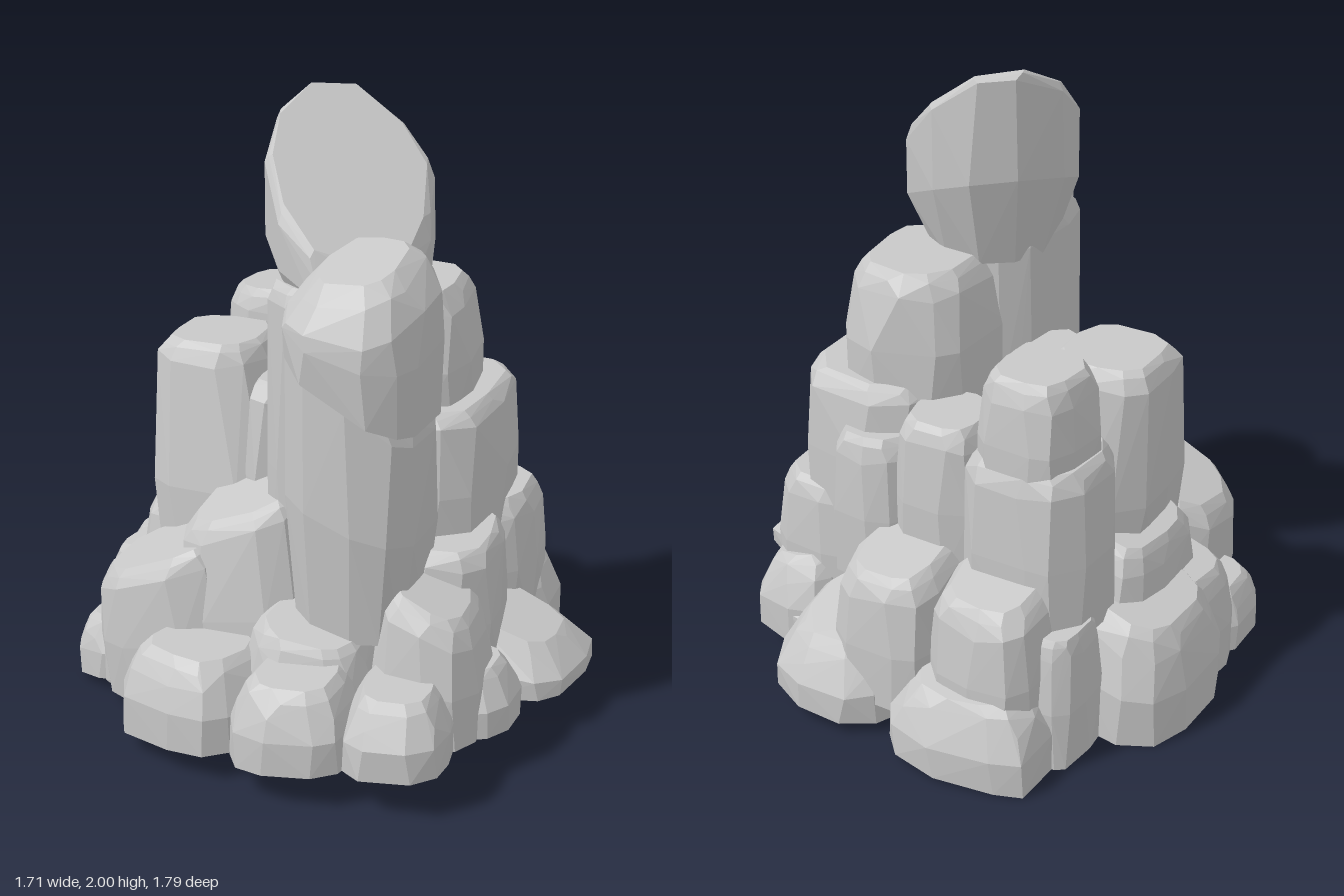
import * as THREE from 'three';
import { ConvexGeometry } from 'three/addons/geometries/ConvexGeometry.js';

const stone = new THREE.MeshStandardMaterial({ color: 0xc8c8c8, flatShading: true });
stone.name = 'pale grey stone';

// The formation stands on a slightly tilted flat underside.
const groundY = (x, z) => 0.074 + 0.068 * x + 0.03 * z;

function seeded(seed) {
  let s = seed * 7919 + 17;
  return () => ((s = (s * 16807) % 2147483647) / 2147483647);
}

export function createModel() {
  const group = new THREE.Group();
  let count = 0;

  // One chiselled boulder: rounded-box rings, narrowing to a bevelled, sloping top.
  // y0 = null stands it on the ground; y1 is the top height at its middle.
  // sx, sz slope the top; bx slopes the bottom; power 1 is round, lower is boxier.
  function rock(name, [x0, x1], [z0, z1], [y0, y1], o = {}) {
    const rand = seeded(++count);
    for (let i = 0; i < 4; i++) rand();
    const { sx = 0, sz = 0, bx = 0, foot = 1, shoulder = 0.94, crown = 0.7, bevel = 0.07 } = o;
    const { power = 0.68, yaw = (rand() - 0.5) * 0.24, lean = [0, 0] } = o;
    const cx = (x0 + x1) / 2, cz = (z0 + z1) / 2, rx = (x1 - x0) / 2, rz = (z1 - z0) / 2;
    const sides = 11, turn = rand() * 6;
    const wobble = Array.from({ length: sides }, () => 0.94 + rand() * 0.1);
    const rings = [[0, foot, 0], [0.45, 1, 0], [1, shoulder, bevel], [1, (shoulder + crown) / 2, bevel * 0.35], [1, crown, 0]];
    const points = [];
    for (const [t, scale, drop] of rings) {
      for (let i = 0; i < sides; i++) {
        const a = turn + ((i + rand() * 0.35) / sides) * Math.PI * 2;
        const c = Math.cos(a), s = Math.sin(a);
        const u = Math.sign(c) * Math.abs(c) ** power * rx * scale * wobble[i];
        const v = Math.sign(s) * Math.abs(s) ** power * rz * scale * wobble[i];
        const dx = u * Math.cos(yaw) + v * Math.sin(yaw), dz = v * Math.cos(yaw) - u * Math.sin(yaw);
        const x = cx + dx + lean[0] * (t - 0.5), z = cz + dz + lean[1] * (t - 0.5);
        const low = y0 === null ? groundY(x, z) : y0 + bx * dx;
        const high = y1 + sx * dx + sz * dz - drop * (t === 1 ? 0.8 + rand() * 0.4 : 1);
        points.push(new THREE.Vector3(x, low + (high - low) * t, z));
      }
    }
    const mesh = new THREE.Mesh(new ConvexGeometry(points), stone);
    mesh.name = name;
    group.add(mesh);
  }

  // Hidden core that closes the underside
  rock('core', [-0.72, 0.66], [-0.72, 0.72], [null, 0.33], { shoulder: 0.75, crown: 0.6 });
  rock('innerCore', [-0.5, 0.48], [-0.5, 0.4], [0.2, 0.62], { shoulder: 0.9 });

  // Tall spire with its slanting tip
  rock('spireColumn', [-0.11, 0.3], [-0.1, 0.42], [0.4, 1.47], { yaw: 0, shoulder: 0.97, crown: 0.85 });
  rock('spireTip', [-0.16, 0.35], [-0.2, 0.39], [1.36, 1.77],
    { sx: -0.7, sz: -0.62, foot: 0.72, shoulder: 1, crown: 0.9, bevel: 0.05, power: 0.9, yaw: 0 });

  // Front finger and its capstone, meeting along a slanted seam
  rock('fingerColumn', [0.04, 0.48], [0.13, 0.6], [0.42, 1.28], { yaw: 0, sx: -0.7, foot: 0.85, shoulder: 0.98, crown: 0.85 });
  rock('fingerCap', [0.035, 0.49], [0.12, 0.61], [1.2, 1.58],
    { yaw: 0, sx: 0.06, sz: -0.3, bx: -0.55, foot: 0.97, shoulder: 0.97, crown: 0.55, bevel: 0.12 });

  // Stepped blocks on the right side
  rock('rightTopBlock', [-0.04, 0.43], [-0.45, 0.13], [0.95, 1.39], { shoulder: 0.87, crown: 0.68 });
  rock('rightMiddleBlock', [0.0, 0.54], [-0.53, 0.22], [0.55, 1.04], { yaw: 0, shoulder: 0.95, crown: 0.82, bevel: 0.05 });
  rock('rightLowerBlock', [0.22, 0.63], [-0.17, 0.34], [0.2, 0.65], { shoulder: 0.92, crown: 0.78, bevel: 0.05 });
  rock('rightRearBlock', [0.18, 0.6], [-0.56, -0.1], [0.2, 0.65], { shoulder: 0.92, crown: 0.75 });
  rock('rightShoulder', [0.33, 0.69], [0.16, 0.6], [null, 0.57], { sx: -0.4, shoulder: 0.86, crown: 0.6, bevel: 0.07 });

  // Left and rear columns
  rock('leftColumn', [-0.62, -0.13], [-0.25, 0.25], [0.3, 1.16], { yaw: 0, shoulder: 0.77, crown: 0.6, bevel: 0.06, lean: [-0.11, -0.05] });
  rock('rearLeftBlock', [-0.62, -0.18], [-0.6, -0.16], [0.4, 0.97], { yaw: 0, shoulder: 0.94, crown: 0.78 });
  rock('rearLeftColumn', [-0.56, -0.22], [-0.56, -0.21], [0.85, 1.24], { yaw: 0, shoulder: 0.9, crown: 0.7, bevel: 0.07 });
  rock('gapColumn', [-0.26, -0.05], [-0.3, 0.24], [0.5, 1.07], { yaw: 0, shoulder: 0.9, bevel: 0.05 });
  rock('rearMiddleColumn', [-0.24, 0.1], [-0.57, -0.22], [0.5, 1.0], { shoulder: 0.9 });
  rock('rearRightColumn', [0.02, 0.32], [-0.6, -0.28], [0.4, 0.9], { shoulder: 0.9 });

  // Slanting blocks on the front left
  rock('frontInnerBlock', [-0.36, 0.09], [0.1, 0.56], [0.15, 0.75], { yaw: 0.1, sx: 0.35, sz: -0.2, shoulder: 0.88, crown: 0.7, bevel: 0.05, lean: [-0.05, -0.04] });
  rock('frontOuterBlock', [-0.65, -0.12], [0.15, 0.61], [null, 0.56], { yaw: -0.1, sx: 0.42, sz: -0.1, shoulder: 0.9, crown: 0.74, bevel: 0.06, lean: [-0.05, 0] });
  rock('frontStep', [-0.03, 0.38], [0.36, 0.7], [0.2, 0.46], { sx: -0.15, sz: -0.2, shoulder: 0.9, bevel: 0.06 });

  // Outer ring of low boulders, front round to the right
  rock('frontLeftBoulder', [-0.4, 0.07], [0.4, 0.85], [null, 0.37], { shoulder: 0.88, crown: 0.62, bevel: 0.08, yaw: -0.25 });
  rock('frontBoulder', [0.01, 0.39], [0.48, 0.89], [null, 0.38], { shoulder: 0.89, crown: 0.62, bevel: 0.08, sz: -0.1 });
  rock('frontRightBoulder', [0.32, 0.67], [0.38, 0.82], [null, 0.36], { shoulder: 0.88, crown: 0.62, bevel: 0.08, yaw: 0.25 });
  rock('rightFrontBoulder', [0.44, 0.76], [0.13, 0.48], [null, 0.33], { shoulder: 0.85, crown: 0.58, bevel: 0.07 });
  rock('rightBoulder', [0.4, 0.86], [-0.31, 0.18], [null, 0.32], { sx: -0.35, shoulder: 0.82, crown: 0.6, bevel: 0.05 });
  rock('rightRearBoulder', [0.28, 0.64], [-0.65, -0.22], [null, 0.37], { sx: -0.25, shoulder: 0.86, crown: 0.6, bevel: 0.08 });

  // Rear boulders
  rock('rearRightBoulder', [-0.08, 0.36], [-0.88, -0.44], [null, 0.34], { sz: 0.35, shoulder: 0.86, crown: 0.6, bevel: 0.08 });
  rock('rearBoulder', [-0.62, -0.08], [-0.89, -0.48], [null, 0.3], { sz: 0.2, shoulder: 0.86, crown: 0.62, bevel: 0.08, yaw: 0.12 });
  rock('rearUpperMiddle', [-0.23, 0.16], [-0.81, -0.42], [0.12, 0.6], { sz: 0.25, shoulder: 0.9, crown: 0.66, bevel: 0.07 });
  rock('rearUpperLeft', [-0.57, -0.18], [-0.79, -0.4], [0.12, 0.6], { sz: 0.25, shoulder: 0.9, crown: 0.66, bevel: 0.07 });
  rock('rearCornerStone', [-0.66, -0.45], [-0.66, -0.36], [null, 0.46], { shoulder: 0.85, bevel: 0.06 });

  // Left boulders
  rock('leftBoulder', [-0.86, -0.46], [-0.44, 0.12], [null, 0.42], { sx: 0.3, shoulder: 0.86, crown: 0.65, bevel: 0.08 });
  rock('leftSideStone', [-0.8, -0.48], [-0.1, 0.25], [null, 0.42], { sx: 0.25, shoulder: 0.86, crown: 0.65, bevel: 0.07 });
  rock('leftUpperStone', [-0.69, -0.45], [-0.32, 0.2], [0.2, 0.6], { sx: 0.3, shoulder: 0.88, crown: 0.65 });
  rock('leftFrontBoulder', [-0.79, -0.5], [0.12, 0.47], [null, 0.25], { sx: 0.15, shoulder: 0.88, crown: 0.62, bevel: 0.06 });

  return group;
}
